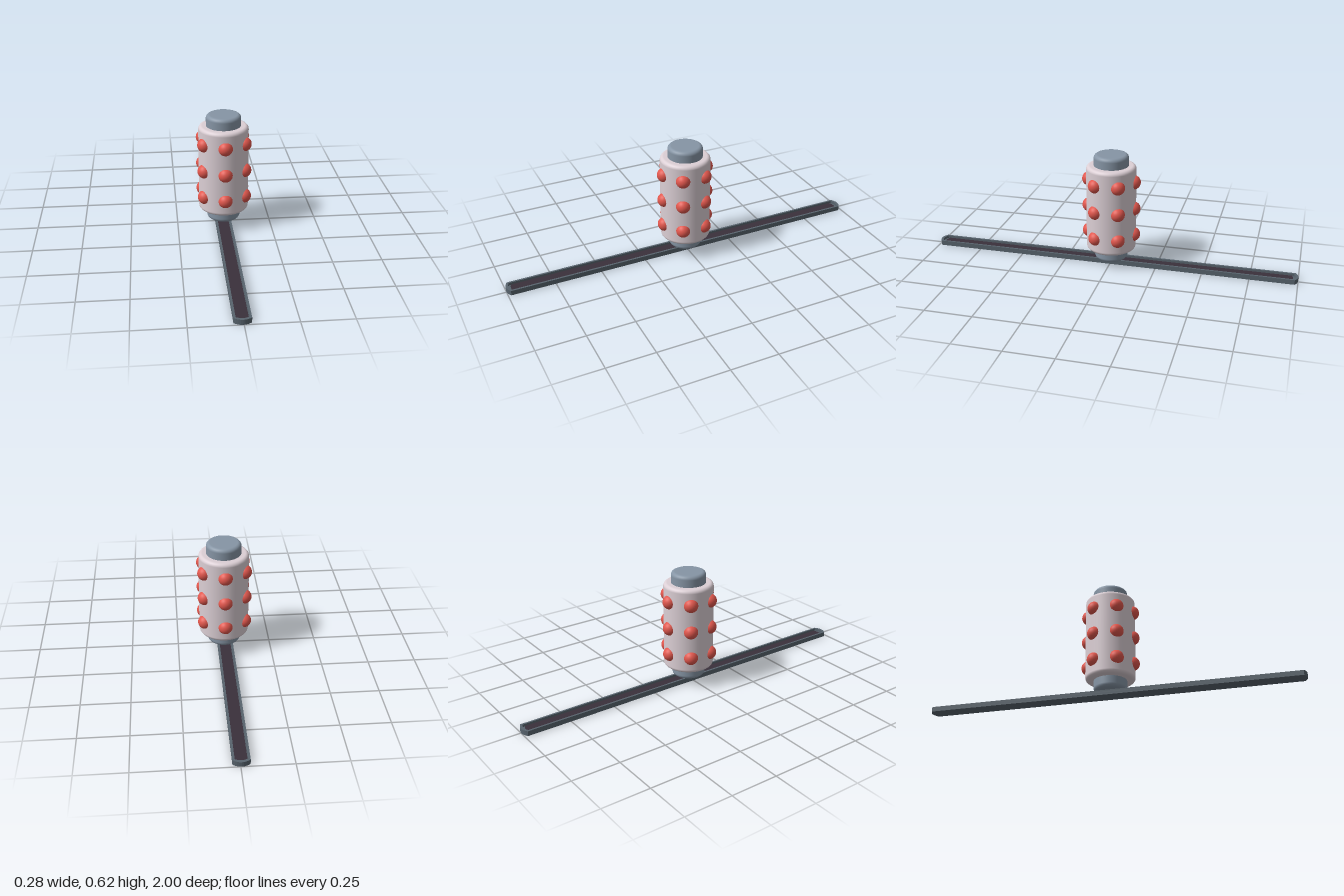
import * as THREE from 'three';

const material = (name, color) => new THREE.MeshStandardMaterial({ name, color });

// Cylinder profile with rounded rims, spun around y
function roundedCylinder(radius, y0, y1, bevelBottom, bevelTop) {
  const pts = [new THREE.Vector2(0, y0)];
  const arc = (b, cy, from) => {
    for (let i = 0; i <= 6; i++) {
      const a = from + (i / 6) * Math.PI / 2;
      pts.push(new THREE.Vector2(radius - b + b * Math.cos(a), cy + b * Math.sin(a)));
    }
  };
  arc(bevelBottom, y0 + bevelBottom, -Math.PI / 2);
  arc(bevelTop, y1 - bevelTop, 0);
  pts.push(new THREE.Vector2(0, y1));
  return new THREE.LatheGeometry(pts, 48);
}

// Long strip outline with gently bowed ends
function stripPoints(halfWidth, halfLength, bow) {
  const pts = [];
  for (const s of [1, -1]) {
    for (let i = 0; i <= 8; i++) {
      const t = 1 - i / 4;
      pts.push(new THREE.Vector2(s * halfWidth * t, s * (halfLength - bow * t * t)));
    }
  }
  return pts;
}

function stripGeometry(outline, depth, hole) {
  const shape = new THREE.Shape(outline);
  if (hole) shape.holes.push(new THREE.Path(hole));
  return new THREE.ExtrudeGeometry(shape, { depth, bevelEnabled: false }).rotateX(-Math.PI / 2);
}

export function createModel() {
  const model = new THREE.Group();
  const shell = material('pale shell', 0xdccfd5);
  const steel = material('blue grey', 0x8695a5);
  const red = material('red', 0xe2574d);
  const railGrey = material('rail grey', 0x58646e);
  const dark = material('dark channel', 0x3a303b);

  const add = (name, geometry, mat, parent = model) => {
    const mesh = new THREE.Mesh(geometry, mat);
    mesh.name = name;
    parent.add(mesh);
    return mesh;
  };

  // Main drum and end caps
  add('drum', roundedCylinder(0.132, 0.088, 0.557, 0.02, 0.02), shell);
  add('topCap', roundedCylinder(0.092, 0.54, 0.617, 0.004, 0.02), steel);
  add('bottomCap', roundedCylinder(0.088, 0.028, 0.105, 0.022, 0.004), steel);

  // Three rings of six round studs
  const studs = new THREE.Group();
  studs.name = 'studs';
  model.add(studs);
  const studGeometry = new THREE.SphereGeometry(0.038, 24, 16);
  for (const y of [0.175, 0.323, 0.471]) {
    for (let i = 0; i < 6; i++) {
      const a = i * Math.PI / 3;
      add('stud', studGeometry, red, studs).position.set(0.12 * Math.sin(a), y, 0.12 * Math.cos(a));
    }
  }

  // Rail: base, raised rim and dark inlay in the channel
  const rail = new THREE.Group();
  rail.name = 'rail';
  rail.position.x = -0.0045;
  model.add(rail);
  const outline = stripPoints(0.0415, 1, 0.016);
  add('railBase', stripGeometry(outline, 0.012), railGrey, rail);
  add('railRim', stripGeometry(outline, 0.014, stripPoints(0.031, 0.986, 0.01)), railGrey, rail).position.y = 0.012;
  add('railInlay', stripGeometry(stripPoints(0.029, 0.974, 0.008), 0.003), dark, rail).position.y = 0.012;

  return model;
}
